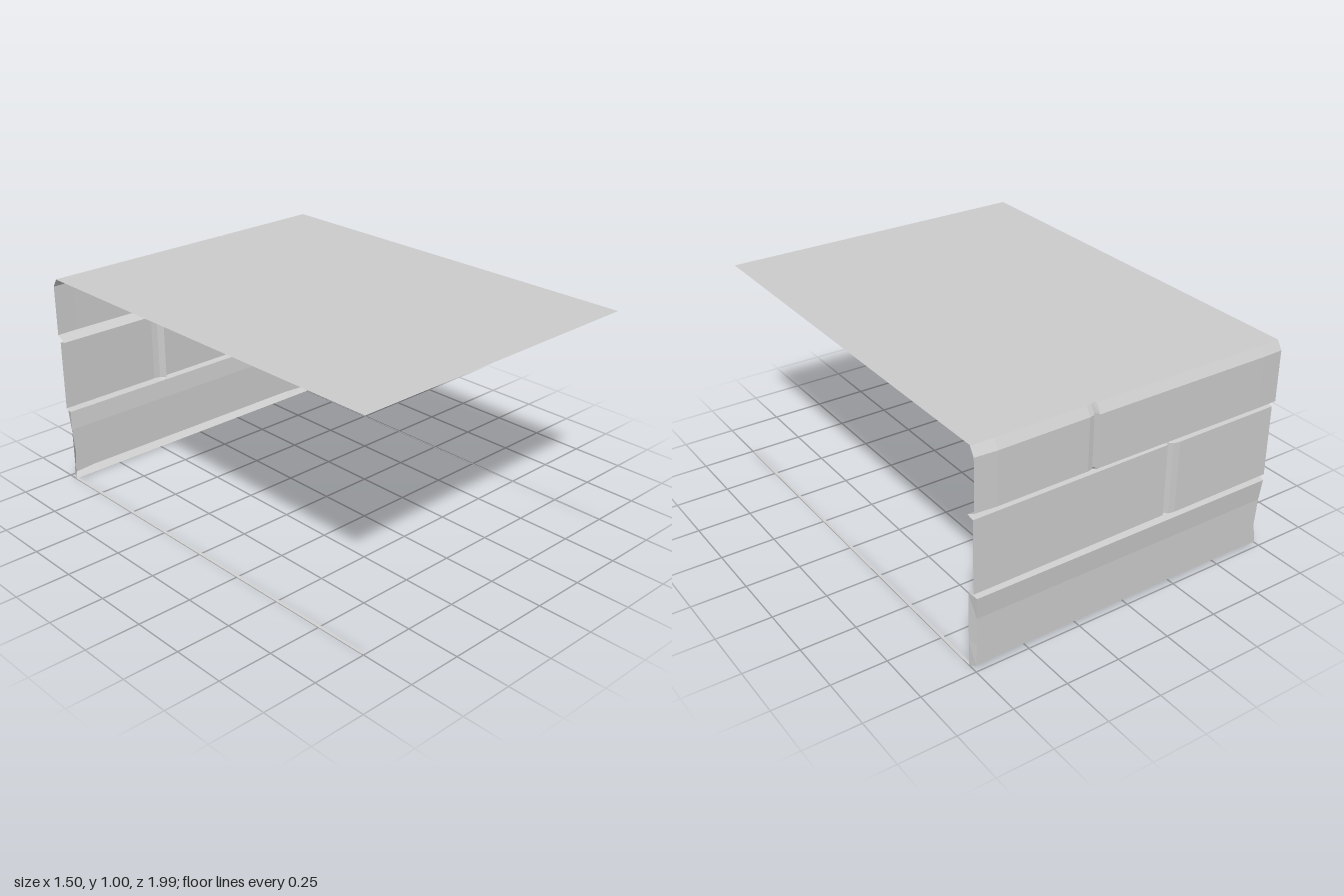
import * as THREE from 'three';

const material = new THREE.MeshStandardMaterial({
  color: 0xcccccc, flatShading: true, side: THREE.DoubleSide,
});

// Joins rows of points into one open sheet; rows run downward, points run along +x.
function sheet(name, rows) {
  const cols = rows[0].length;
  const index = [];
  for (let r = 0; r < rows.length - 1; r++) {
    for (let c = 0; c < cols - 1; c++) {
      const a = r * cols + c, b = a + 1, d = a + cols, e = d + 1;
      index.push(a, b, d, b, e, d);
    }
  }
  const geometry = new THREE.BufferGeometry();
  geometry.setAttribute('position', new THREE.Float32BufferAttribute(rows.flat(2), 3));
  geometry.setIndex(index);
  geometry.computeVertexNormals();
  const mesh = new THREE.Mesh(geometry, material);
  mesh.name = name;
  return mesh;
}

const JOINT = -0.95; // depth of the recessed joints

// Course of blocks: profile is [y, z] from top to bottom, columns are [x, inward push].
function course(name, profile, columns) {
  return sheet(name, profile.map(([y, z]) =>
    columns.map(([x, push]) => [x, y, Math.min(JOINT, z + push)])));
}

export function createModel() {
  const group = new THREE.Group();
  group.name = 'stoneStep';

  // Thin flat tread, reaching back to the chamfered edge
  group.add(sheet('tread', [
    [[-0.75, 1, -0.975], [0.19, 1, -0.975], [0.203, 1, -0.965], [0.215, 1, -0.975], [0.75, 1, -0.975]],
    [[-0.75, 1, 0.99], [0.19, 1, 0.99], [0.203, 1, 0.99], [0.215, 1, 0.99], [0.75, 1, 0.99]],
  ].map((row) => row.slice().reverse())));

  // Top course with a chamfered lip and one vertical seam
  group.add(course('topCourse',
    [[1, -0.975], [0.96, -1], [0.725, -1], [0.7, JOINT]],
    [[-0.75, 0.003], [-0.65, 0], [0.19, 0], [0.203, 0.03], [0.21, 0.01], [0.235, 0.004], [0.65, 0], [0.75, 0.006]]));

  // Middle course with a wider seam
  group.add(course('middleCourse',
    [[0.7, JOINT], [0.693, -0.985], [0.36, -0.985], [0.352, JOINT]],
    [[-0.75, 0.003], [-0.24, 0], [-0.21, 0.005], [-0.188, 0.03], [-0.183, 0.008], [0.75, 0]]));

  // Bottom course: one long block with bevelled ends and foot
  const ends = [
    [0.352, 0.75, 0.75, JOINT],
    [0.342, 0.735, 0.74, -0.995],
    [0.24, 0.73, 0.735, -0.985],
    [0.12, 0.72, 0.735, -0.985],
    [0.015, 0.735, 0.74, -0.985],
    [0, 0.75, 0.75, JOINT],
  ];
  group.add(sheet('bottomCourse', ends.map(([y, right, left, z], i) => {
    const middleY = i === 4 ? 0.022 : y;
    return [
      [-0.75, y, JOINT], [-right, y, z], [-0.62, middleY, z],
      [0.62, middleY, z], [left, y, z], [0.75, y, JOINT],
    ];
  })));

  // Slender strips along the ground on both sides
  for (const [name, inner, outer] of [['rightGroundStrip', -0.74, -0.75], ['leftGroundStrip', 0.74, 0.75]]) {
    const points = [[inner, 0.004], [outer, 0]].sort((a, b) => a[0] - b[0]);
    group.add(sheet(name, [0.99, JOINT].map((z) => points.map(([x, y]) => [x, y, z]))));
  }
  return group;
}
